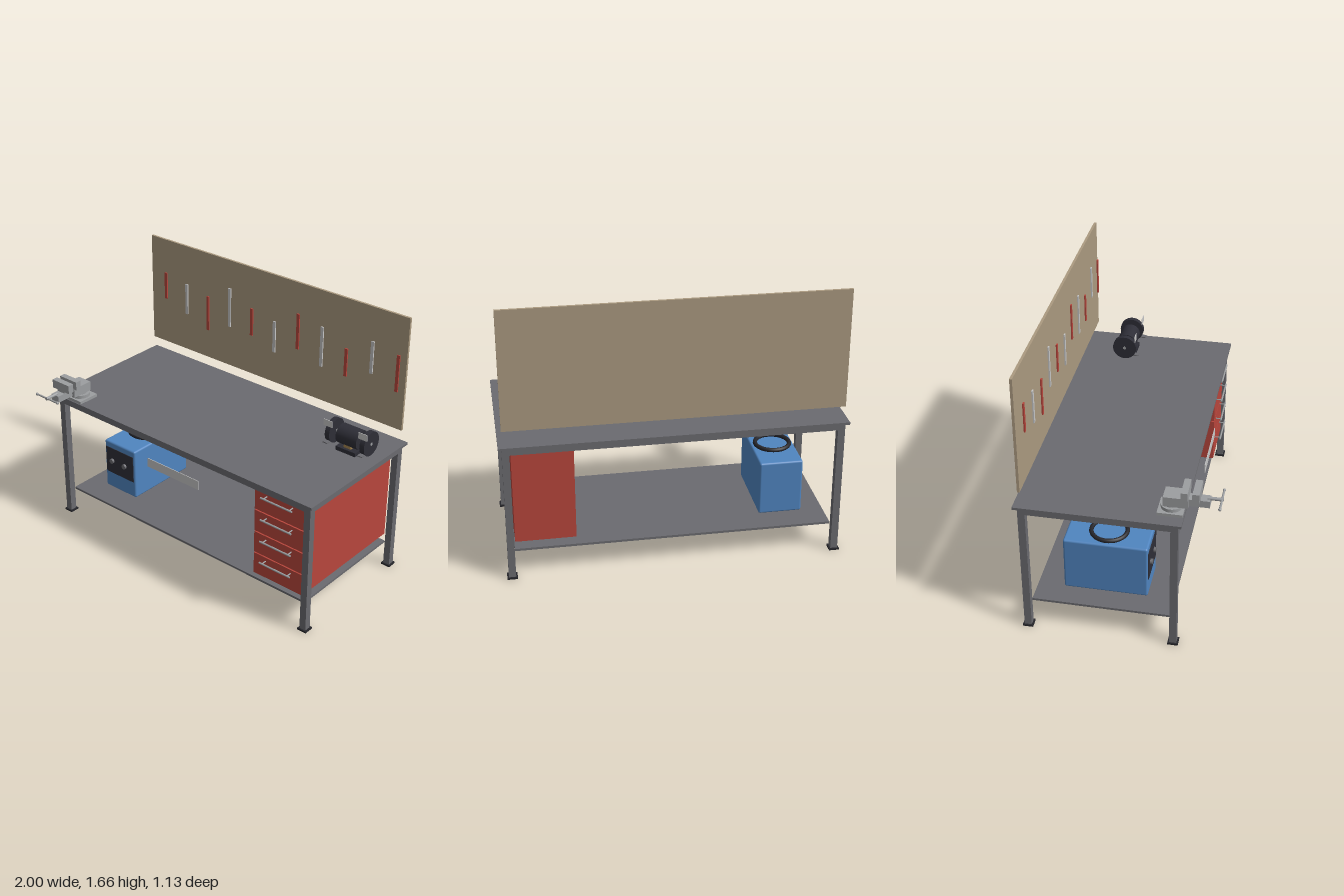
import * as THREE from 'three';
import { RoundedBoxGeometry } from 'three/addons/geometries/RoundedBoxGeometry.js';

const material = (name, color) => {
  const m = new THREE.MeshStandardMaterial({ color });
  m.name = name;
  return m;
};

export function createModel() {
  const steel = material('grey steel', 0x6b6b70);
  const black = material('black rubber', 0x26262b);
  const charcoal = material('charcoal', 0x2e2e37);
  const red = material('red paint', 0xb8463c);
  const blue = material('blue paint', 0x5085c0);
  const tan = material('tan board', 0xab9a80);
  const castIron = material('cast iron', 0x9c9ea0);
  const pale = material('pale metal', 0xc6c6c6);
  const brass = material('brass', 0xa5854f);

  const model = new THREE.Group();
  model.name = 'workbench';

  const section = (name) => {
    const g = new THREE.Group();
    g.name = name;
    model.add(g);
    return g;
  };
  const add = (parent, name, geometry, mat, x, y, z) => {
    const m = new THREE.Mesh(geometry, mat);
    m.name = name;
    m.position.set(x, y, z);
    parent.add(m);
    return m;
  };
  // Box given by its limits on each axis
  const box = (parent, name, mat, x0, x1, y0, y1, z0, z1) =>
    add(parent, name, new THREE.BoxGeometry(x1 - x0, y1 - y0, z1 - z0), mat,
      (x0 + x1) / 2, (y0 + y1) / 2, (z0 + z1) / 2);
  // Cylinder along a chosen axis
  const rod = (parent, name, mat, axis, r, length, x, y, z, sides = 24) => {
    const g = new THREE.CylinderGeometry(r, r, length, sides);
    if (axis === 'x') g.rotateZ(Math.PI / 2);
    if (axis === 'z') g.rotateX(Math.PI / 2);
    return add(parent, name, g, mat, x, y, z);
  };

  // Bench frame
  const frame = section('frame');
  box(frame, 'benchTop', steel, -1, 1, 0.842, 0.857, -0.568, 0.362);
  box(frame, 'lowerShelf', steel, -0.935, 0.935, 0.157, 0.171, -0.503, 0.3);
  for (const z of [-0.524, 0.321]) {
    box(frame, 'longRail', steel, -0.938, 0.938, 0.8, 0.842, z - 0.021, z + 0.021);
    for (const x of [-0.959, 0.959]) {
      box(frame, 'leg', steel, x - 0.021, x + 0.021, 0.01, 0.842, z - 0.021, z + 0.021);
      box(frame, 'foot', black, x - 0.03, x + 0.03, 0, 0.011, z - 0.03, z + 0.03);
    }
  }
  for (const x of [-0.959, 0.959]) {
    box(frame, 'sideRail', steel, x - 0.021, x + 0.021, 0.8, 0.842, -0.503, 0.3);
  }
  box(frame, 'frontPlate', pale, -0.2, 0.2, 0.65, 0.708, 0.37, 0.374);

  // Drawer cabinet
  const cabinet = section('drawerCabinet');
  box(cabinet, 'cabinetBody', red, 0.578, 0.931, 0.22, 0.797, -0.503, 0.302);
  for (let i = 0; i < 4; i++) {
    const y = 0.22 + i * 0.146;
    box(cabinet, 'drawerFront', red, 0.578, 0.931, y, y + 0.138, 0.302, 0.32);
    const hy = y + 0.113;
    rod(cabinet, 'drawerHandle', castIron, 'x', 0.006, 0.22, 0.754, hy, 0.354, 12);
    for (const x of [0.664, 0.844]) {
      rod(cabinet, 'handlePost', castIron, 'z', 0.004, 0.034, x, hy, 0.337, 8);
    }
  }

  // Blue machine on the lower shelf
  const unit = section('shelfMachine');
  add(unit, 'machineBody', new RoundedBoxGeometry(0.262, 0.338, 0.49, 3, 0.012), blue, -0.67, 0.341, -0.102);
  box(unit, 'controlPanel', charcoal, -0.788, -0.553, 0.286, 0.468, 0.14, 0.147);
  for (const x of [-0.733, -0.625]) {
    rod(unit, 'controlKnob', steel, 'z', 0.016, 0.016, x, 0.378, 0.153);
  }
  add(unit, 'hoseRing', new THREE.TorusGeometry(0.104, 0.013, 12, 40).rotateX(Math.PI / 2),
    black, -0.67, 0.521, -0.102);

  // Tool board with hanging tools
  const board = section('toolBoard');
  box(board, 'backBoard', tan, -0.977, 0.977, 0.946, 1.656, -0.538, -0.523);
  const heights = [0.178, 0.204, 0.23, 0.257];
  const levels = [1.348, 1.304, 1.259];
  for (let i = 0; i < 11; i++) {
    const x = -0.848 + i * 0.1776, h = heights[i % 4], y = levels[i % 3];
    box(board, 'hangingTool', i % 2 ? pale : red, x - 0.01, x + 0.01, y - h / 2, y + h / 2, -0.515, -0.507);
  }

  // Vise
  const vise = section('vise');
  const vx = -0.85;
  const block = (name, w, y0, y1, z0, z1) =>
    box(vise, name, castIron, vx - w / 2, vx + w / 2, y0, y1, z0, z1);
  block('viseBase', 0.145, 0.857, 0.875, 0.214, 0.356);
  rod(vise, 'swivelDisc', castIron, 'y', 0.06, 0.02, vx, 0.885, 0.285, 32);
  rod(vise, 'viseNeck', castIron, 'y', 0.042, 0.022, vx, 0.903, 0.285);
  block('viseBody', 0.1, 0.906, 0.965, 0.243, 0.38);
  block('slide', 0.06, 0.911, 0.953, 0.375, 0.495);
  block('fixedJaw', 0.14, 0.963, 1.017, 0.343, 0.38);
  block('movingJaw', 0.14, 0.963, 1.017, 0.405, 0.443);
  block('movingJawStem', 0.06, 0.95, 0.966, 0.405, 0.443);
  rod(vise, 'viseScrew', castIron, 'z', 0.01, 0.085, vx, 0.955, 0.522, 16);
  rod(vise, 'viseHandle', castIron, 'x', 0.006, 0.18, vx, 0.955, 0.556, 12);
  for (const s of [-1, 1]) {
    add(vise, 'handleKnob', new THREE.SphereGeometry(0.009, 14, 10), castIron, vx + s * 0.089, 0.955, 0.556);
  }

  // Bench grinder
  const grinder = section('benchGrinder');
  const gx = 0.797, gy = 0.945, gz = -0.284;
  box(grinder, 'grinderBase', charcoal, gx - 0.068, gx + 0.068, 0.857, 0.882, gz - 0.058, gz + 0.058);
  box(grinder, 'grinderNeck', brass, gx - 0.024, gx + 0.024, 0.88, 0.905, gz - 0.04, gz + 0.04);
  rod(grinder, 'motor', charcoal, 'x', 0.06, 0.142, gx, gy, gz, 32);
  rod(grinder, 'shaft', castIron, 'x', 0.01, 0.276, gx, gy, gz, 16);
  for (const s of [-1, 1]) {
    const x = gx + s * 0.121;
    rod(grinder, 'grindingWheel', charcoal, 'x', 0.075, 0.031, x, gy, gz, 40);
    box(grinder, 'eyeShield', pale, x - 0.03, x + 0.03, 0.996, 1.036, -0.217, -0.213);
    box(grinder, 'toolRest', steel, x - 0.016, x + 0.016, 0.894, 0.9, -0.228, -0.193);
  }

  return model;
}
